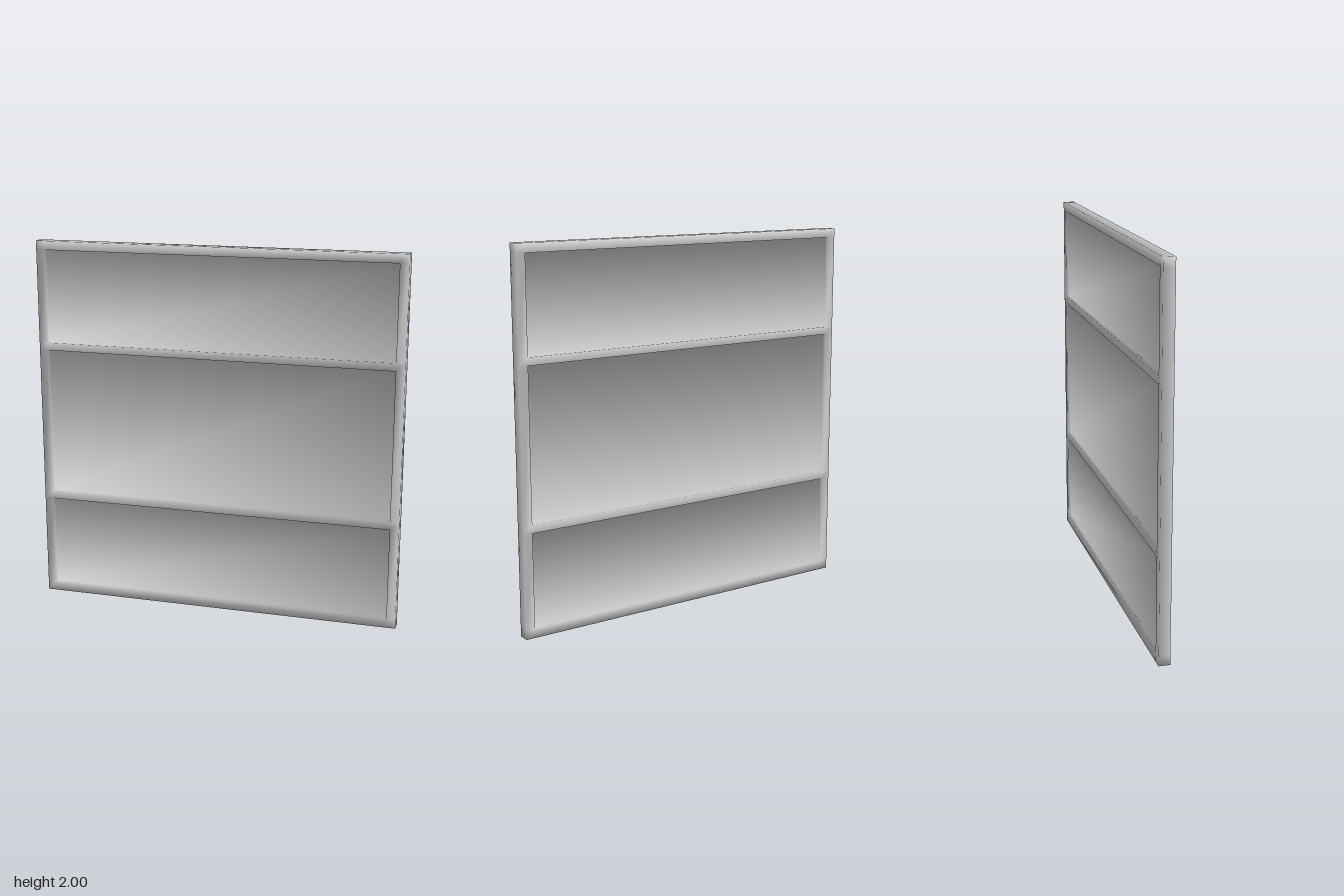
import * as THREE from 'three';

// Grid lines of the stiles and rails, seen from the front
const XS = [-1, -0.95, 0.95, 1];
const YS = [0, 0.05, 0.555, 0.597, 1.405, 1.447, 1.952, 2];
const HALF = 0.03;   // half thickness of the frame
const INNER = 0.01;  // half thickness of the recessed panels

export function createModel() {
  const positions = [], normals = [], lookup = new Map();
  const frame = [], panels = [];

  // Shared vertices, so normals blend softly over the edges
  const vertex = (p) => {
    const key = p.join();
    if (!lookup.has(key)) {
      lookup.set(key, positions.length / 3);
      positions.push(...p);
      normals.push(0, 0, 0);
    }
    return lookup.get(key);
  };

  // Adds a quad and gives each corner an equal share of its normal
  const quad = (part, corners, flip = false) => {
    const c = flip ? [...corners].reverse() : corners;
    const [a, b, , d] = c.map((p) => new THREE.Vector3(...p));
    const n = b.sub(a).cross(d.sub(a)).normalize();
    const id = c.map(vertex);
    for (const i of id) {
      normals[3 * i] += n.x;
      normals[3 * i + 1] += n.y;
      normals[3 * i + 2] += n.z;
    }
    part.push(id[0], id[1], id[2], id[0], id[2], id[3]);
  };

  const nx = XS.length - 1, ny = YS.length - 1;
  for (let i = 0; i < nx; i++) {
    for (let j = 0; j < ny; j++) {
      const c = [[XS[i], YS[j]], [XS[i + 1], YS[j]], [XS[i + 1], YS[j + 1]], [XS[i], YS[j + 1]]];
      const isPanel = i === 1 && j % 2 === 1;

      // Front and back faces, with recess walls around each panel
      for (const side of [1, -1]) {
        const out = side * HALF, inn = side * INNER, flip = side < 0;
        quad(isPanel ? panels : frame, c.map(([x, y]) => [x, y, isPanel ? inn : out]), flip);
        if (!isPanel) continue;
        for (let k = 0; k < 4; k++) {
          const a = c[k], b = c[(k + 1) % 4];
          quad(frame, [[...a, out], [...b, out], [...b, inn], [...a, inn]], flip);
        }
      }

      // Outer edges of the frame
      const border = [j === 0, i === nx - 1, j === ny - 1, i === 0];
      border.forEach((isEdge, k) => {
        const a = c[k], b = c[(k + 1) % 4];
        if (isEdge) quad(frame, [[...a, -HALF], [...b, -HALF], [...b, HALF], [...a, HALF]]);
      });
    }
  }

  const position = new THREE.Float32BufferAttribute(positions, 3);
  const normal = new THREE.Float32BufferAttribute(normals, 3);
  const material = new THREE.MeshStandardMaterial({ color: 0xcccccc });
  const group = new THREE.Group();
  group.name = 'threePanelWindow';
  for (const [name, index] of [['frame', frame], ['panels', panels]]) {
    const geometry = new THREE.BufferGeometry();
    geometry.setAttribute('position', position);
    geometry.setAttribute('normal', normal);
    geometry.setIndex(index);
    geometry.normalizeNormals();
    const mesh = new THREE.Mesh(geometry, material);
    mesh.name = name;
    group.add(mesh);
  }
  return group;
}
